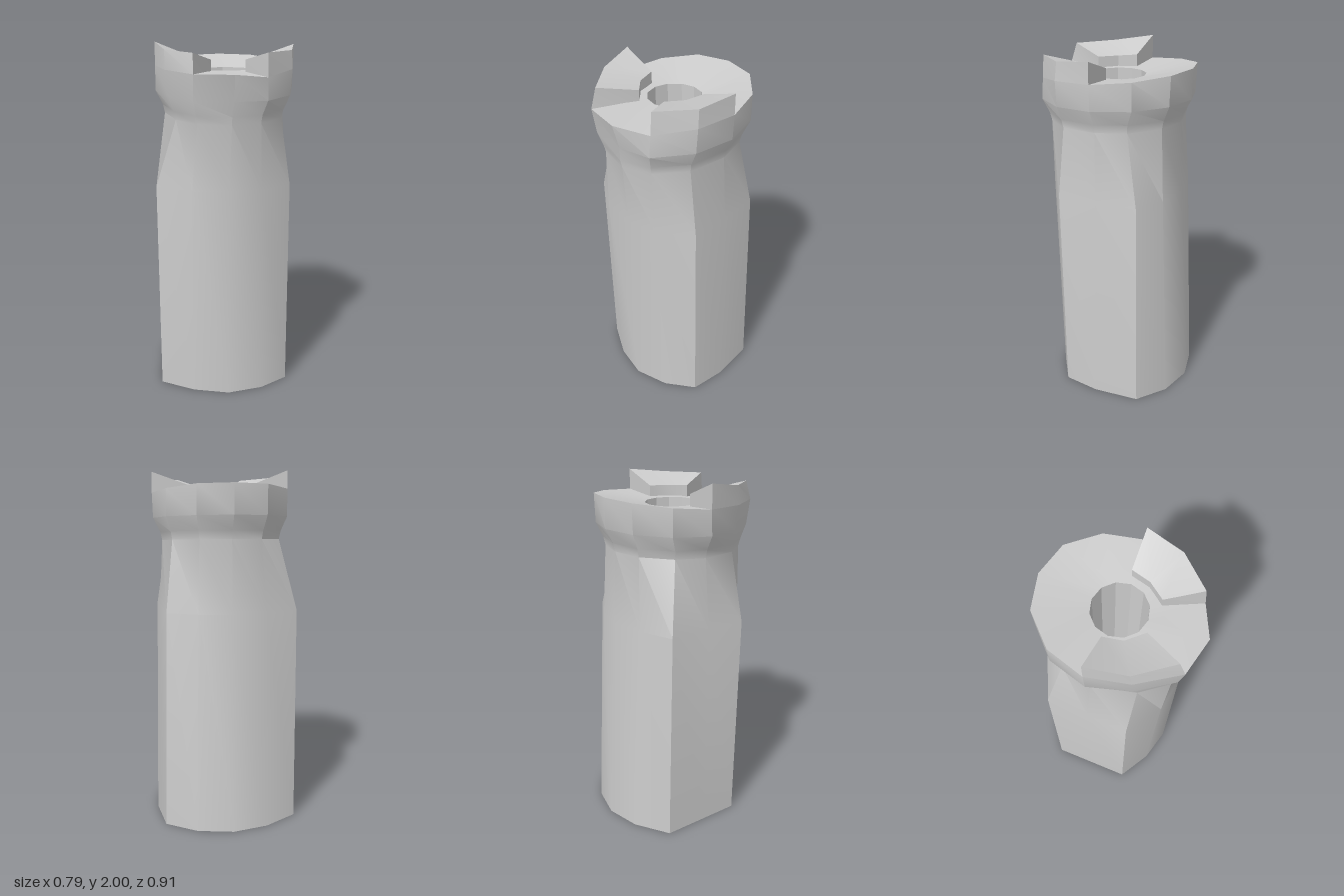
import * as THREE from 'three';
import { toCreasedNormals } from 'three/addons/utils/BufferGeometryUtils.js';

const material = new THREE.MeshStandardMaterial({ color: 0xcccccc, side: THREE.DoubleSide });

// Skins rows of points; rows always close on themselves, points along a row optionally.
function skin(name, rows, closed, crease) {
  const out = [];
  const quad = (a, b, c, d) => out.push(...a, ...b, ...c, ...a, ...c, ...d);
  const n = rows[0].length;
  rows.forEach((row, r) => {
    const next = rows[(r + 1) % rows.length];
    for (let i = 0; i < (closed ? n : n - 1); i++) {
      const j = (i + 1) % n;
      quad(row[i], next[i], next[j], row[j]);
    }
  });
  if (!closed) {
    const [a, b, c, d] = rows;
    quad(d[0], c[0], b[0], a[0]);
    quad(a[n - 1], b[n - 1], c[n - 1], d[n - 1]);
  }
  const geometry = new THREE.BufferGeometry();
  geometry.setAttribute('position', new THREE.Float32BufferAttribute(out, 3));
  const mesh = new THREE.Mesh(toCreasedNormals(geometry, crease), material);
  mesh.name = name;
  return mesh;
}

// Twelve-sided outlines [x, z], from the back round by the left side.
const foot = [[0, -0.455], [0.2, -0.41], [0.365, -0.29], [0.39, -0.03], [0.36, 0.18], [0.2, 0.29],
  [0, 0.34], [-0.2, 0.29], [-0.39, 0.18], [-0.39, -0.03], [-0.39, -0.29], [-0.2, -0.41]];
const shoulder = [[0, -0.385], [0.18, -0.35], [0.345, -0.265], [0.36, -0.03], [0.355, 0.2], [0.18, 0.33],
  [0, 0.36], [-0.2, 0.33], [-0.395, 0.2], [-0.39, -0.03], [-0.39, -0.27], [-0.2, -0.35]];
const neck = [[0, -0.37], [0.17, -0.33], [0.3, -0.19], [0.34, -0.02], [0.3, 0.19], [0.17, 0.34],
  [0.01, 0.395], [-0.17, 0.35], [-0.28, 0.21], [-0.34, -0.02], [-0.3, -0.19], [-0.17, -0.33]];
const flare = [[0, -0.425], [0.19, -0.375], [0.335, -0.23], [0.39, -0.02], [0.345, 0.2], [0.2, 0.38],
  [0.02, 0.415], [-0.19, 0.385], [-0.32, 0.2], [-0.39, -0.02], [-0.335, -0.23], [-0.19, -0.375]];
// Rim corners [x, y, z]
const rim = [[0, 1.915, -0.425], [0.19, 1.91, -0.38], [0.335, 1.89, -0.23], [0.395, 1.87, -0.02],
  [0.355, 1.86, 0.2], [0.2, 1.83, 0.37], [0.02, 1.85, 0.455], [-0.19, 1.85, 0.41],
  [-0.335, 1.86, 0.2], [-0.39, 1.87, -0.025], [-0.335, 1.89, -0.23], [-0.19, 1.91, -0.38]];

// Outline lifted to a height, dipping a little towards the front
const level = (outline, y, tilt = 0) => outline.map(([x, z]) => [x, y - tilt * z, z]);

// Ring of the central bore
const bore = (y, radius, z0) => foot.map((_, i) => {
  const a = (i / 12) * Math.PI * 2;
  return [Math.sin(a) * radius, y, z0 - Math.cos(a) * radius];
});

// Raised block on the rim: outer and inner top corners over the given rim corners
function merlon(name, corners, outerTop, innerTop) {
  const innerBottom = innerTop.map(([x, , z]) => [x, 1.8, z]);
  return skin(name, [corners.map((i) => rim[i]), outerTop, innerTop, innerBottom], false, 0.4);
}

export function createModel() {
  const group = new THREE.Group();
  group.name = 'tower';

  // Shaft, pinched neck, flared rim and bore in one closed skin
  group.add(skin('towerBody', [
    level(foot, 0),
    level(shoulder, 1.22),
    level(neck, 1.605, 0.05),
    level(neck.map(([x, z]) => [x * 1.03, z * 1.03]), 1.65, 0.05),
    level(flare, 1.73, 0.05),
    rim,
    bore(1.85, 0.148, 0),
    bore(0, 0.13, -0.035),
  ], true, 0.5));

  // Two raised blocks either side of the front notch
  group.add(merlon('leftMerlon', [3, 4, 5],
    [[0.395, 1.985, -0.02], [0.35, 1.96, 0.19], [0.2, 1.955, 0.36]],
    [[0.19, 1.915, -0.015], [0.165, 1.91, 0.09], [0.1, 1.91, 0.18]]));
  group.add(merlon('rightMerlon', [7, 8, 9],
    [[-0.19, 1.955, 0.375], [-0.335, 1.965, 0.19], [-0.39, 2, -0.025]],
    [[-0.085, 1.91, 0.175], [-0.165, 1.91, 0.09], [-0.19, 1.92, -0.015]]));

  return group;
}
